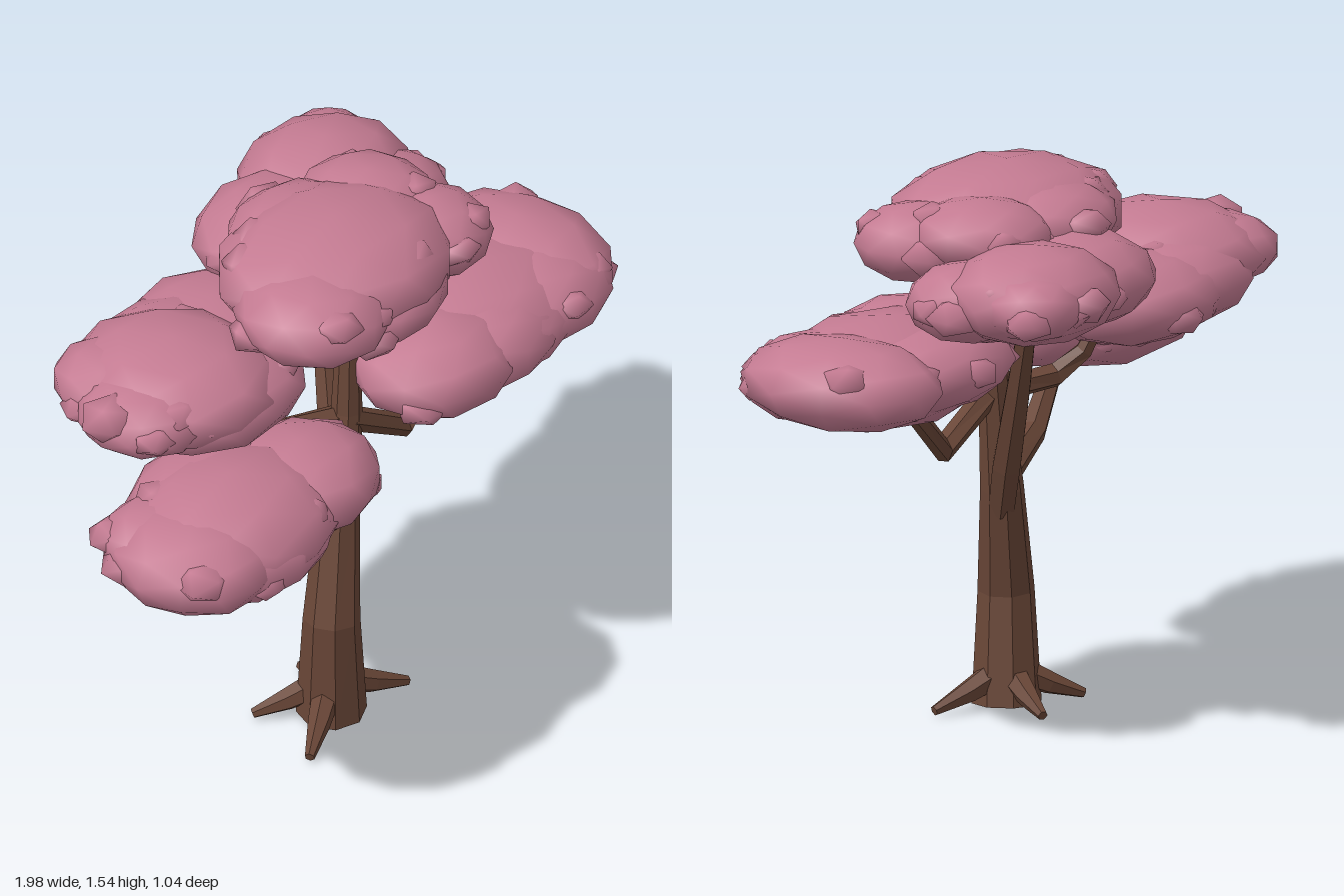
import * as THREE from 'three';
import { mergeGeometries, mergeVertices } from 'three/addons/utils/BufferGeometryUtils.js';

const UP = new THREE.Vector3(0, 1, 0);

// Faceted limb: a cylinder whose rings are moved onto a path of [x, y, z, radius] points
function limb(points, sides) {
  const n = points.length - 1;
  const pts = points.map(p => new THREE.Vector3(p[0], p[1], p[2]));
  const geo = new THREE.CylinderGeometry(1, 1, 1, sides, n);
  const turns = pts.map((p, i) => {
    const a = pts[Math.max(i - 1, 0)], b = pts[Math.min(i + 1, n)];
    return new THREE.Quaternion().setFromUnitVectors(UP, b.clone().sub(a).normalize());
  });
  const pos = geo.attributes.position, v = new THREE.Vector3();
  for (let k = 0; k < pos.count; k++) {
    v.fromBufferAttribute(pos, k);
    const i = Math.round((v.y + 0.5) * n);
    v.setY(0).multiplyScalar(points[i][3]).applyQuaternion(turns[i]).add(pts[i]);
    pos.setXYZ(k, v.x, v.y, v.z);
  }
  const flat = geo.toNonIndexed();
  flat.computeVertexNormals();
  return flat;
}

// Smooth low-poly ellipsoid: centre c, radii r, turned about y
function blob(c, r, detail, turn) {
  let geo = new THREE.IcosahedronGeometry(1, detail);
  geo.deleteAttribute('normal');
  geo.deleteAttribute('uv');
  geo = mergeVertices(geo, 1e-4);
  geo.rotateY(turn).scale(...r).translate(...c);
  geo.computeVertexNormals();
  return geo;
}

function randomFrom(seed) {
  return () => {
    seed = (seed * 16807) % 2147483647;
    return seed / 2147483647;
  };
}

// Cloud of leaves: large lobes with small angular tufts mostly sunk in their surfaces
function canopy(lobes, seed) {
  const rand = randomFrom(seed * 7919);
  const parts = [];
  lobes.forEach(([x, y, z, rx, ry, rz]) => {
    parts.push(blob([x, y, z], [rx, ry, rz], 1, rand() * 6));
    for (let i = 0; i < 4; i++) {
      const a = (i + rand() * 0.8) * Math.PI * 0.5;
      const lift = rand() * 1.1 - 0.5;
      const w = Math.cos(lift) * 0.77;
      const s = 0.06 + rand() * 0.025;
      parts.push(blob(
        [x + Math.cos(a) * rx * w, y + Math.sin(lift) * ry * 0.75, z + Math.sin(a) * rz * w],
        [s * 1.1, s * 0.7, s], 0, rand() * 6));
    }
  });
  return mergeGeometries(parts);
}

export function createModel() {
  const tree = new THREE.Group();
  tree.name = 'tree';
  const bark = new THREE.MeshStandardMaterial({ color: 0x694637 });
  bark.name = 'brown bark';
  const blossom = new THREE.MeshStandardMaterial({ color: 0xc47b92 });
  blossom.name = 'pink blossom';

  const add = (name, geo, mat) => {
    const mesh = new THREE.Mesh(geo, mat);
    mesh.name = name;
    tree.add(mesh);
  };

  // Bent, tapering trunk
  add('trunk', limb([
    [-0.02, 0.01, 0.113, 0.096], [-0.035, 0.32, 0.125, 0.078],
    [0.03, 0.62, 0.095, 0.06], [0.075, 0.92, 0.09, 0.043], [0.1, 1.32, 0.08, 0.026],
  ], 8), bark);

  // Elbowed branches
  const branches = {
    lowerBranch: [[0.02, 0.63, 0.11, 0.045], [-0.22, 0.71, 0.16, 0.038], [-0.4, 0.85, 0.21, 0.028], [-0.48, 0.93, 0.23, 0.02]],
    sideBranch: [[0.07, 0.9, 0.1, 0.035], [0.28, 0.775, 0.12, 0.036], [0.4, 0.91, 0.14, 0.027], [0.46, 0.99, 0.15, 0.02]],
    rearSideBranch: [[0.07, 0.9, 0.08, 0.034], [-0.1, 0.915, 0.01, 0.034], [-0.15, 0.98, -0.05, 0.026], [-0.18, 1.08, -0.09, 0.02]],
    rearBranch: [[0.04, 0.56, 0.09, 0.04], [0.09, 0.7, 0.04, 0.043], [0.17, 0.94, -0.05, 0.036], [0.26, 1.22, -0.15, 0.025]],
  };
  for (const name in branches) add(name, limb(branches[name], 6), bark);

  // Four roots: offsets of the tips from the trunk base
  [[0.22, 0.09], [-0.23, 0.11], [0.1, -0.18], [-0.16, -0.14]].forEach(([x, z], i) => {
    const at = (t, y, r) => [-0.02 + x * t, y, 0.11 + z * t, r];
    add('root' + (i + 1), limb([at(0.2, 0.09, 0.04), at(0.55, 0.055, 0.032), at(1, 0.02, 0.014)], 6), bark);
  });

  // Leaf clouds: lobes are x, y, z, then three radii
  const canopies = {
    topCanopy: [
      [0.06, 1.395, 0.06, 0.36, 0.15, 0.31],
      [0.33, 1.41, -0.04, 0.19, 0.1, 0.2],
      [-0.15, 1.38, 0.15, 0.21, 0.12, 0.22],
      [0.36, 1.37, 0.14, 0.18, 0.11, 0.18],
      [0.05, 1.345, 0.19, 0.26, 0.105, 0.19],
      [0.1, 1.41, -0.1, 0.22, 0.1, 0.18],
    ],
    rearCanopy: [
      [0.46, 1.31, -0.29, 0.26, 0.135, 0.23],
      [0.21, 1.29, -0.25, 0.26, 0.13, 0.22],
      [0.53, 1.28, -0.13, 0.18, 0.11, 0.17],
      [0.58, 1.31, -0.37, 0.14, 0.09, 0.14],
      [0.32, 1.25, -0.13, 0.29, 0.115, 0.2],
    ],
    rearSideCanopy: [
      [-0.43, 1.205, -0.11, 0.28, 0.14, 0.3],
      [-0.14, 1.16, -0.2, 0.29, 0.125, 0.25],
      [-0.59, 1.2, -0.08, 0.18, 0.1, 0.19],
      [-0.36, 1.17, -0.02, 0.3, 0.12, 0.22],
      [-0.53, 1.21, -0.22, 0.17, 0.1, 0.18],
      [-0.31, 1.17, -0.23, 0.27, 0.12, 0.2],
    ],
    lowerCanopy: [
      [-0.6, 0.97, 0.22, 0.34, 0.16, 0.28],
      [-0.78, 0.965, 0.24, 0.22, 0.13, 0.24],
      [-0.34, 0.985, 0.25, 0.25, 0.125, 0.22],
      [-0.62, 0.95, 0.31, 0.28, 0.12, 0.19],
      [-0.78, 0.98, 0.12, 0.17, 0.1, 0.15],
      [-0.55, 1.0, 0.1, 0.26, 0.11, 0.18],
    ],
    sideCanopy: [
      [0.51, 1.045, 0.16, 0.38, 0.15, 0.29],
      [0.77, 1.07, 0.12, 0.22, 0.125, 0.3],
      [0.26, 1.05, 0.24, 0.24, 0.13, 0.22],
      [0.68, 1.05, 0.26, 0.24, 0.12, 0.19],
      [0.43, 1.045, 0.28, 0.25, 0.12, 0.18],
      [0.5, 1.07, 0.0, 0.29, 0.11, 0.18],
    ],
  };
  Object.keys(canopies).forEach((name, i) => add(name, canopy(canopies[name], i + 3), blossom));

  return tree;
}
